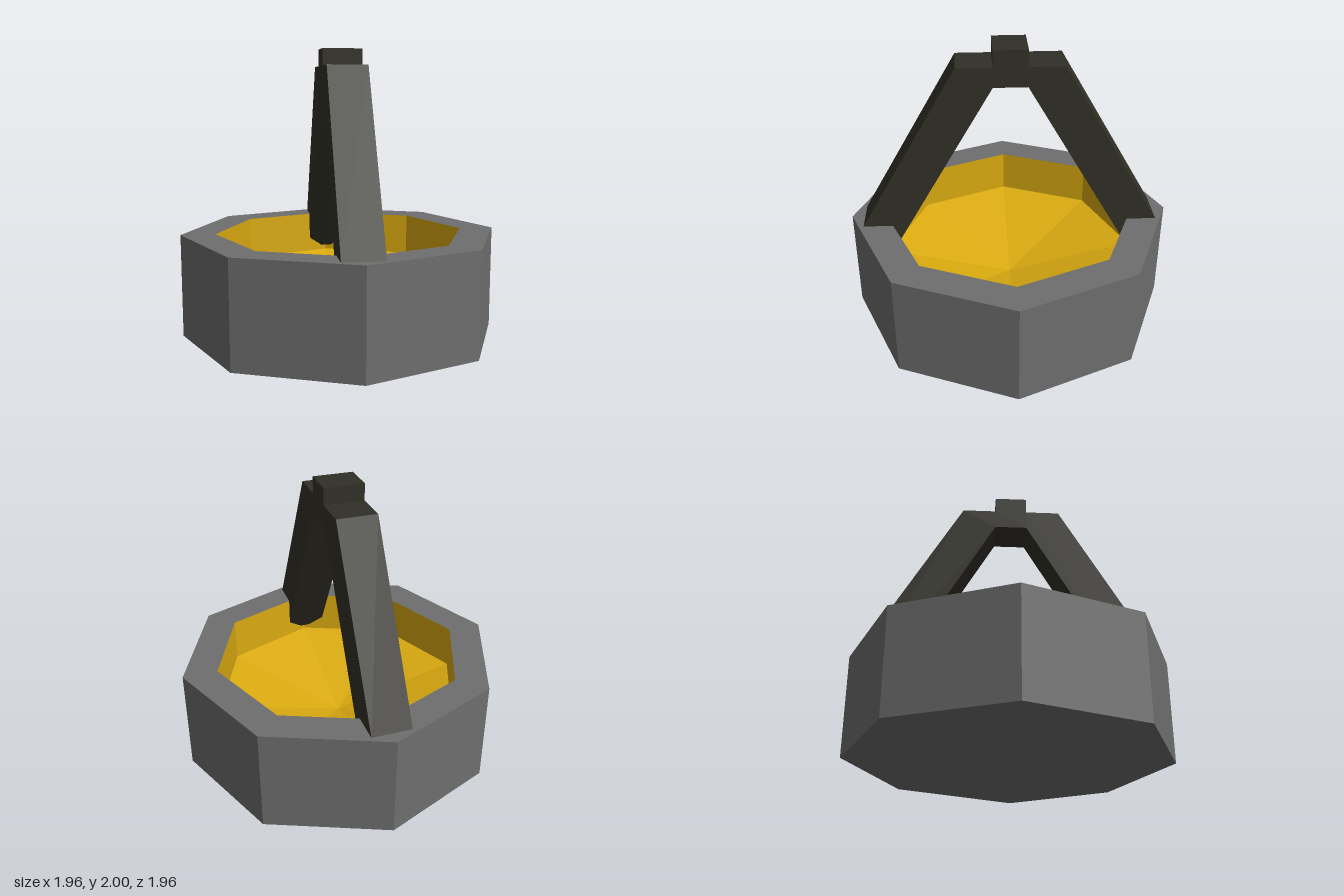
import * as THREE from 'three';

const grey = new THREE.MeshStandardMaterial({ color: 0x6e6e6e, flatShading: true });
grey.name = 'stone grey';
const yellow = new THREE.MeshStandardMaterial({ color: 0xdaaa10, flatShading: true });
yellow.name = 'golden yellow';
const dark = new THREE.MeshStandardMaterial({ color: 0x313027, flatShading: true });
dark.name = 'dark olive';

// Eight-sided turned surface, corners on the x and z axes
function octagonal(name, profile, material) {
  const points = profile.map(([r, y]) => new THREE.Vector2(r, y));
  const mesh = new THREE.Mesh(new THREE.LatheGeometry(points, 8), material);
  mesh.name = name;
  return mesh;
}

export function createModel() {
  const group = new THREE.Group();
  group.name = 'bucket';

  // Outer shell: pointed bottom, straight wall and flat rim
  group.add(octagonal('shell', [[0, 0], [0.98, 0.25], [0.98, 0.885], [0.77, 0.885]], grey));

  // Inner lining: short wall above a shallow pointed floor
  group.add(octagonal('lining', [[0.77, 0.885], [0.77, 0.62], [0, 0.43]], yellow));

  // Handle: half profile as (z, y), mirrored; the feet sink into the rim
  const half = [[0.1, 2], [0.1, 1.9], [0.31, 1.9], [0.9, 0.885], [0.9, 0.65], [0.757, 0.65], [0.1, 1.78]];
  const outline = [...half, ...half.map(([z, y]) => [-z, y]).reverse()];
  const shape = new THREE.Shape(outline.map(([z, y]) => new THREE.Vector2(z, y)));
  const geometry = new THREE.ExtrudeGeometry(shape, { depth: 0.24, bevelEnabled: false });
  geometry.translate(0, 0, -0.12).rotateY(Math.PI / 2);
  const handle = new THREE.Mesh(geometry, dark);
  handle.name = 'handle';
  group.add(handle);

  return group;
}
